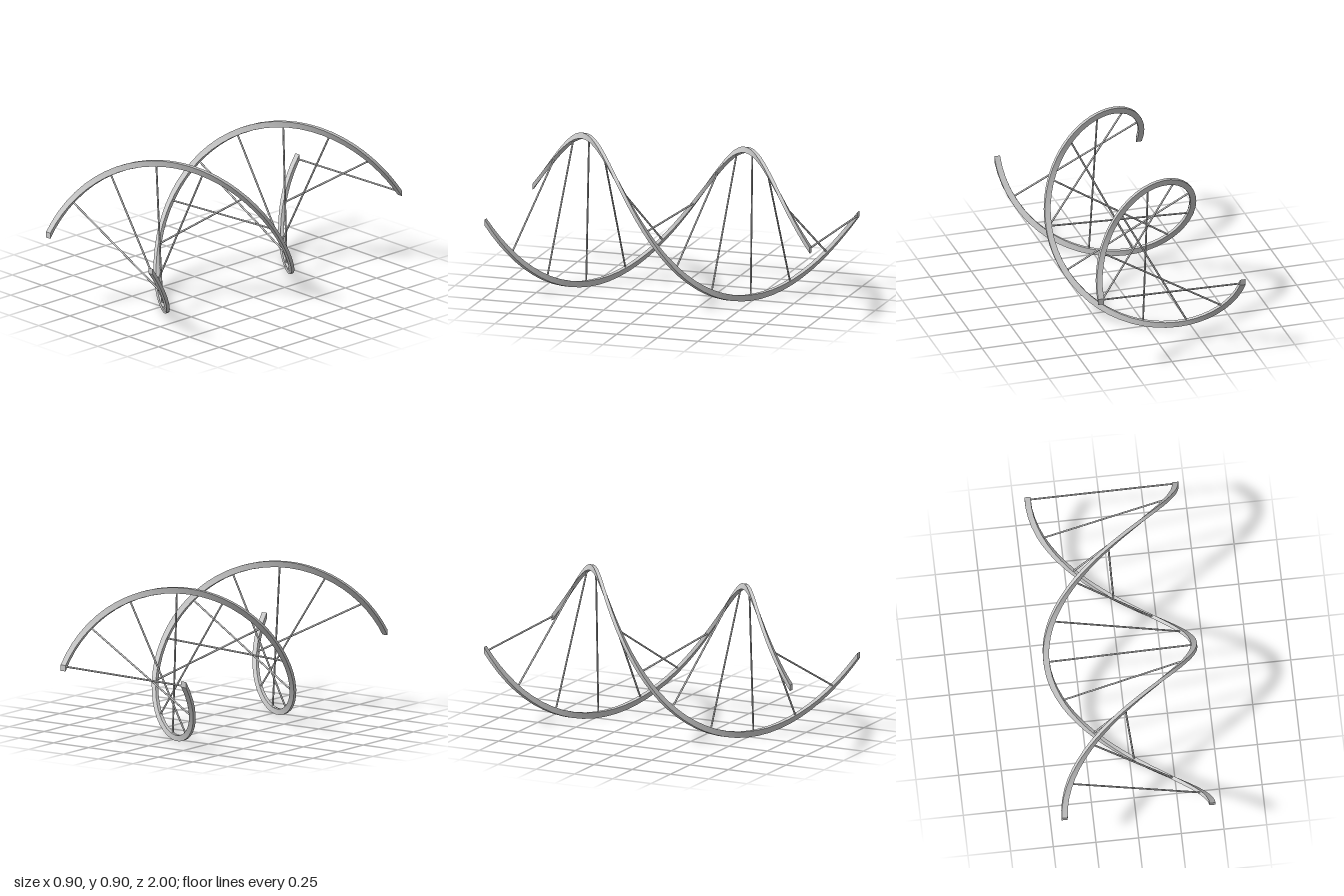
import * as THREE from 'three';
import { toCreasedNormals } from 'three/addons/utils/BufferGeometryUtils.js';

const RADIUS = 0.433, CENTER_Y = 0.452, LENGTH = 2, THICK = 0.035;
const angleAt = (z) => Math.PI * z; // one full turn over the length

export function createModel() {
  const model = new THREE.Group();
  model.name = 'doubleHelix';
  const material = new THREE.MeshStandardMaterial({ color: 0xcccccc });

  // A straight square bar, offset from the axis and twisted along z
  function strand(name, phase) {
    const bar = new THREE.BoxGeometry(THICK, THICK, LENGTH, 1, 1, 48);
    bar.translate(RADIUS, 0, 0);
    const p = bar.attributes.position;
    for (let i = 0; i < p.count; i++) {
      const x = p.getX(i), y = p.getY(i), a = angleAt(p.getZ(i)) + phase;
      p.setXY(i, x * Math.cos(a) - y * Math.sin(a), x * Math.sin(a) + y * Math.cos(a));
    }
    const mesh = new THREE.Mesh(toCreasedNormals(bar, 0.6), material);
    mesh.name = name;
    mesh.position.y = CENTER_Y;
    model.add(mesh);
  }
  strand('strandA', 0);
  strand('strandB', Math.PI);

  // Thin rungs joining the two strands through the axis
  const rungGeometry = new THREE.CylinderGeometry(0.0055, 0.0055, RADIUS * 2, 8);
  rungGeometry.rotateZ(Math.PI / 2);
  for (let i = 0; i < 12; i++) {
    const z = -0.993 + 0.168 * i;
    const rung = new THREE.Mesh(rungGeometry, material);
    rung.name = `rung${i + 1}`;
    rung.position.set(0, CENTER_Y, z);
    rung.rotation.z = angleAt(z);
    model.add(rung);
  }
  return model;
}
